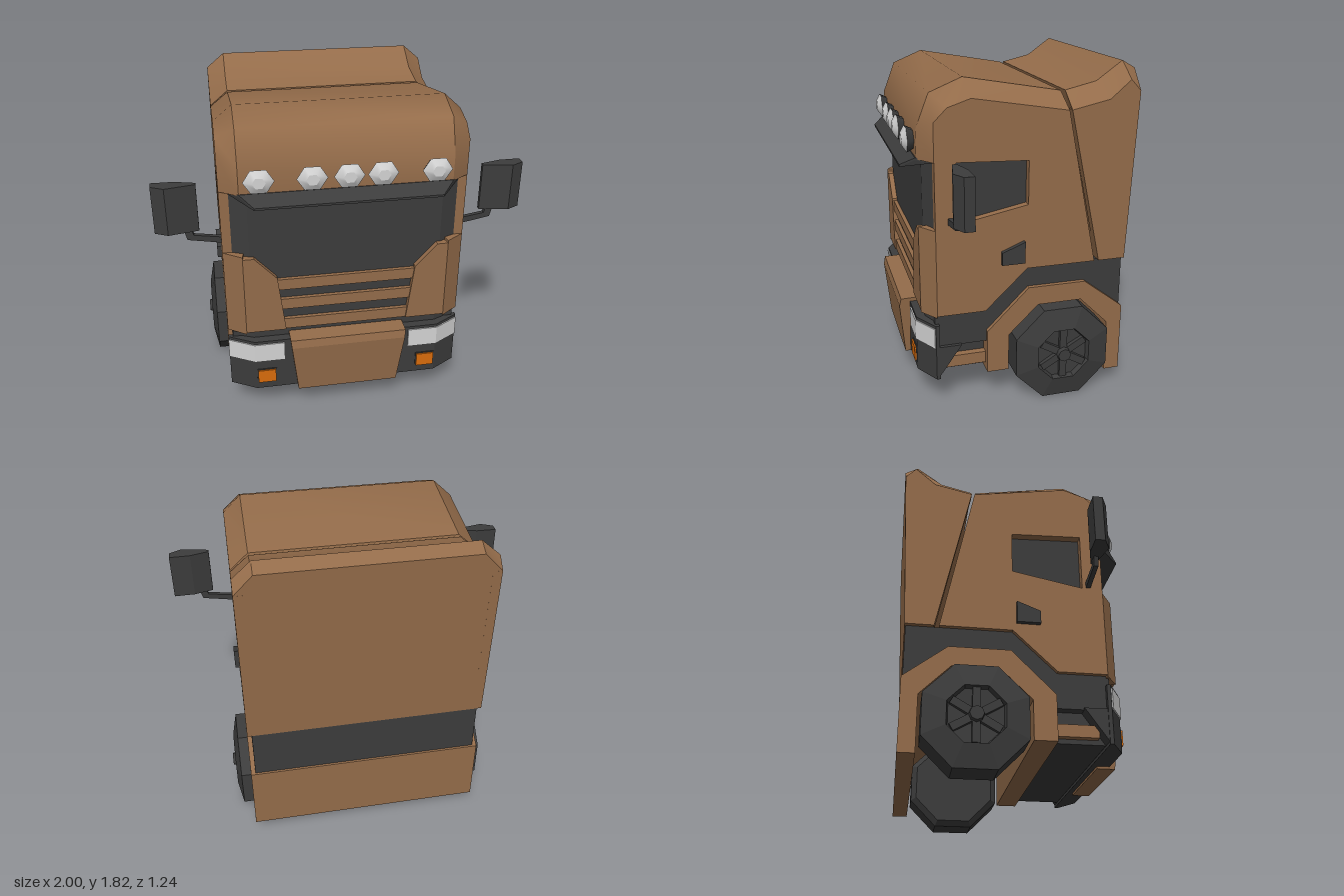
import * as THREE from 'three';
import { ConvexGeometry } from 'three/addons/geometries/ConvexGeometry.js';

const mat = (name, color) => {
  const m = new THREE.MeshStandardMaterial({ color });
  m.name = name;
  return m;
};

const shapeOf = (pts) => new THREE.Shape(pts.map(([a, b]) => new THREE.Vector2(a, b)));

// Side outline given as [z, y], extruded across from x0 to x1
function slab(pts, x0, x1, hole) {
  const shape = shapeOf(pts);
  if (hole) shape.holes.push(shapeOf(hole));
  const g = new THREE.ExtrudeGeometry(shape, { depth: x1 - x0, bevelEnabled: false });
  return g.translate(0, 0, -x1).rotateY(-Math.PI / 2);
}

// Plan outline given as [x, z], extruded up from y0 to y1
function plan(pts, y0, y1) {
  const shape = shapeOf(pts.map(([x, z]) => [x, -z]));
  const g = new THREE.ExtrudeGeometry(shape, { depth: y1 - y0, bevelEnabled: false });
  return g.rotateX(-Math.PI / 2).translate(0, y0, 0);
}

const box = (x0, x1, y0, y1, z0, z1) =>
  new THREE.BoxGeometry(x1 - x0, y1 - y0, z1 - z0)
    .translate((x0 + x1) / 2, (y0 + y1) / 2, (z0 + z1) / 2);

// Skin across the width: full profile in the middle, edge profile at the sides.
// Each strip is smooth along its profile and sharp against its neighbours.
function skin(full, edge) {
  const rows = [[-0.66, edge], [-0.56, full], [0.56, full], [0.66, edge]];
  const pos = [], idx = [];
  for (let i = 0; i < 3; i++) {
    const base = pos.length / 3, n = full.length;
    for (const [x, p] of [rows[i], rows[i + 1]]) p.forEach(([z, y]) => pos.push(x, y, z));
    for (let j = 0; j < n - 1; j++) {
      const a = base + j, b = a + n;
      idx.push(a, b, a + 1, b, b + 1, a + 1);
    }
  }
  const g = new THREE.BufferGeometry();
  g.setAttribute('position', new THREE.Float32BufferAttribute(pos, 3));
  g.setIndex(idx);
  g.computeVertexNormals();
  return g;
}

// Mirrored copy on the other side, with the corner order restored
function mirrored(geo) {
  const g = geo.index ? geo.toNonIndexed() : geo.clone();
  g.scale(-1, 1, 1);
  for (const at of Object.values(g.attributes)) {
    const n = at.itemSize, arr = at.array;
    for (let t = 0; t < arr.length; t += 3 * n) {
      for (let k = 0; k < n; k++) {
        [arr[t + k], arr[t + 2 * n + k]] = [arr[t + 2 * n + k], arr[t + k]];
      }
    }
  }
  return g;
}

export function createModel() {
  const root = new THREE.Group();
  root.name = 'truckCab';
  const brown = mat('brown paint', 0x946c4a);
  const dark = mat('dark trim', 0x3c3c3c);
  const light = mat('lamp glass', 0xd4d4d4);
  const amber = mat('amber lamp', 0xd96c0c);
  dark.flatShading = false;

  const add = (name, geo, material) => {
    const m = new THREE.Mesh(geo, material);
    m.name = name;
    root.add(m);
  };
  const pair = (name, geo, material) => {
    add(name + 'Left', geo, material);
    add(name + 'Right', mirrored(geo), material);
  };

  // Cab roof and brow
  const roofFull = [[0.54, 1.37], [0.54, 1.52], [0.47, 1.7], [0.3, 1.77], [-0.215, 1.68]];
  const roofEdge = [[0.47, 1.37], [0.47, 1.57], [0.4, 1.64], [0.28, 1.68], [-0.23, 1.595]];
  add('cabRoof', skin(roofFull, roofEdge), brown);
  add('cabBack', skin([[-0.215, 1.68], [-0.4, 0.76]], [[-0.23, 1.595], [-0.4, 0.76]]), brown);

  // Cab sides with window openings
  pair('cabSide', slab(
    [[0.47, 0.54], ...roofEdge.slice(1), [-0.4, 0.76], [-0.02, 0.76], [0.21, 0.54]], 0.61, 0.66,
    [[-0.02, 1.35], [-0.02, 1.115], [0.36, 1.04], [0.36, 1.365]]), brown);
  add('windowCore', slab(
    [[0.46, 0.55], [0.46, 1.5], [-0.19, 1.5], [-0.375, 0.77], [-0.02, 0.77], [0.2, 0.55]],
    -0.615, 0.615), dark);
  add('windscreen', plan(
    [[-0.61, 0.45], [-0.61, 0.47], [-0.52, 0.51], [0.52, 0.51], [0.61, 0.47], [0.61, 0.45]],
    0.36, 1.39), dark);

  // Front corner panels and grille bars
  const corner = shapeOf([[0.56, 0.54], [0.56, 1.0], [0.5, 1.0], [0.38, 0.87], [0.34, 0.54]]);
  pair('frontPanel', new THREE.ExtrudeGeometry(corner, { depth: 0.05, bevelEnabled: false })
    .translate(0, 0, 0.49), brown);
  pair('cornerPanel', plan(
    [[0.56, 0.54], [0.66, 0.47], [0.6, 0.46], [0.55, 0.49]], 0.53, 1.015), brown);
  for (const y of [0.54, 0.668, 0.792]) {
    add('grilleBar', box(-0.385, 0.385, y, y + 0.064, 0.49, 0.532), brown);
  }

  // Sun visor
  const visorRows = [[0.62, 1.372, 0.47], [0.56, 1.378, 0.545], [0.49, 1.33, 0.615]];
  add('sunVisor', new ConvexGeometry(visorRows.flatMap(([x, y, z]) =>
    [1, -1].flatMap((s) => [0, 0.012].map((d) => new THREE.Vector3(s * x, y - d, z))))), dark);

  // Roof lamps
  for (const x of [-0.46, -0.19, 0, 0.175, 0.46]) {
    const place = (g, z) => g.rotateX(Math.PI / 2).scale(1, 0.9, 1).translate(x, 1.455, z);
    add('lampHousing', place(new THREE.CylinderGeometry(0.08, 0.055, 0.045, 6, 1, false, Math.PI / 6 * 3), 0.553), dark);
    add('lampLens', place(new THREE.CylinderGeometry(0.035, 0.08, 0.024, 6, 1, false, Math.PI / 6 * 3), 0.5875), light);
  }

  // Rear section
  const wingFull = [[-0.24, 1.68], [-0.41, 1.72], [-0.55, 1.82]];
  const wingEdge = [[-0.245, 1.595], [-0.45, 1.64], [-0.56, 1.735]];
  add('rearWing', skin(wingFull, wingEdge), brown);
  const rearFull = [wingFull[2], [-0.62, 1.78], [-0.575, 0.76], [-0.425, 0.76], wingFull[0]];
  const rearEdge = [wingEdge[2], [-0.616, 1.675], [-0.575, 0.76], [-0.425, 0.76], wingEdge[0]];
  for (let i = 0; i < 4; i++) {
    add('rearPanel', skin(rearFull.slice(i, i + 2), rearEdge.slice(i, i + 2)), brown);
  }
  pair('rearSide', slab([...wingEdge, ...rearEdge.slice(1, 4)], 0.61, 0.66), brown);

  // Dark waist band and wheel arches
  add('waistBand', slab(
    [[0.48, 0.54], [0.21, 0.54], [-0.02, 0.76], [-0.57, 0.76], [-0.57, 0.46], [-0.35, 0.63],
      [-0.03, 0.63], [0.19, 0.41], [0.19, 0.35], [0.48, 0.35]], -0.635, 0.635), dark);
  add('wheelArch', slab(
    [[0.2, 0.17], [0.2, 0.415], [-0.03, 0.645], [-0.35, 0.645], [-0.577, 0.47], [-0.577, 0.08],
      [-0.49, 0.08], [-0.49, 0.38], [-0.33, 0.54], [-0.085, 0.54], [0.08, 0.38], [0.08, 0.17]],
    -0.66, 0.66), brown);

  // Entry steps
  add('stepBlock', box(-0.58, 0.58, 0.185, 0.36, 0.19, 0.48), dark);
  add('stepTrim', box(-0.62, 0.62, 0.21, 0.275, 0.19, 0.42), brown);

  // Bumper with centre panel
  add('bumper', plan(
    [[-0.66, 0.46], [-0.66, 0.48], [-0.52, 0.56], [0.52, 0.56], [0.66, 0.48], [0.66, 0.46]],
    0.168, 0.485), dark);
  add('bumperReturn', slab([[0.47, 0.355], [0.34, 0.355], [0.47, 0.17]], -0.655, 0.655), dark);
  const nose = [[0.49, 0.155, 0.285], [0.59, 0.155, 0.285], [0.62, 0.46, 0.32],
    [0.61, 0.505, 0.325], [0.5, 0.508, 0.325]];
  add('bumperCentre', new ConvexGeometry(nose.flatMap(([z, y, w]) =>
    [w, -w].map((x) => new THREE.Vector3(x, y, z)))), brown);

  // Headlights and indicators
  pair('headlight', plan(
    [[0.355, 0.555], [0.355, 0.567], [0.522, 0.567], [0.662, 0.487], [0.655, 0.48], [0.52, 0.555]],
    0.355, 0.468), light);
  pair('indicator', box(0.41, 0.51, 0.215, 0.295, 0.565, 0.574).translate(0, 0, -0.001), amber);
  pair('indicatorBase', box(0.405, 0.515, 0.21, 0.3, 0.555, 0.565), dark);

  // Door handles and mirrors
  pair('doorHandle', slab([[0.125, 0.8], [0.125, 0.87], [0, 0.92], [0, 0.8]], 0.655, 0.685), dark);
  pair('mirror', plan(
    [[0.77, 0.382], [0.77, 0.404], [0.93, 0.437], [1, 0.4], [1, 0.348], [0.88, 0.35]],
    1.125, 1.39), dark);
  const arm = shapeOf([[0.64, 1.04], [0.835, 1.075], [0.85, 1.13], [0.81, 1.13], [0.8, 1.1], [0.64, 1.075]]);
  pair('mirrorArm', new THREE.ExtrudeGeometry(arm, { depth: 0.025, bevelEnabled: false })
    .translate(0, 0, 0.38), dark);

  // Eight-sided wheels with six spokes
  const wheelAt = (g) => g.translate(0, 0.262, -0.21);
  const tyre = new THREE.LatheGeometry(
    [[0, 0.505], [0.25, 0.505], [0.284, 0.53], [0.284, 0.715], [0.157, 0.742], [0.148, 0.712], [0, 0.705]]
      .map(([r, h]) => new THREE.Vector2(r, h)), 8, Math.PI / 8)
    .rotateZ(-Math.PI / 2).toNonIndexed();
  tyre.computeVertexNormals();
  pair('tyre', wheelAt(tyre), dark);
  for (let i = 0; i < 6; i++) {
    pair('spoke', wheelAt(box(0.7, 0.733, 0.025, 0.14, -0.02, 0.02).rotateX(i * Math.PI / 3)), dark);
  }
  const hub = new THREE.CylinderGeometry(0.036, 0.044, 0.055, 8).rotateZ(-Math.PI / 2).translate(0.73, 0, 0);
  pair('hub', wheelAt(hub), dark);

  return root;
}
